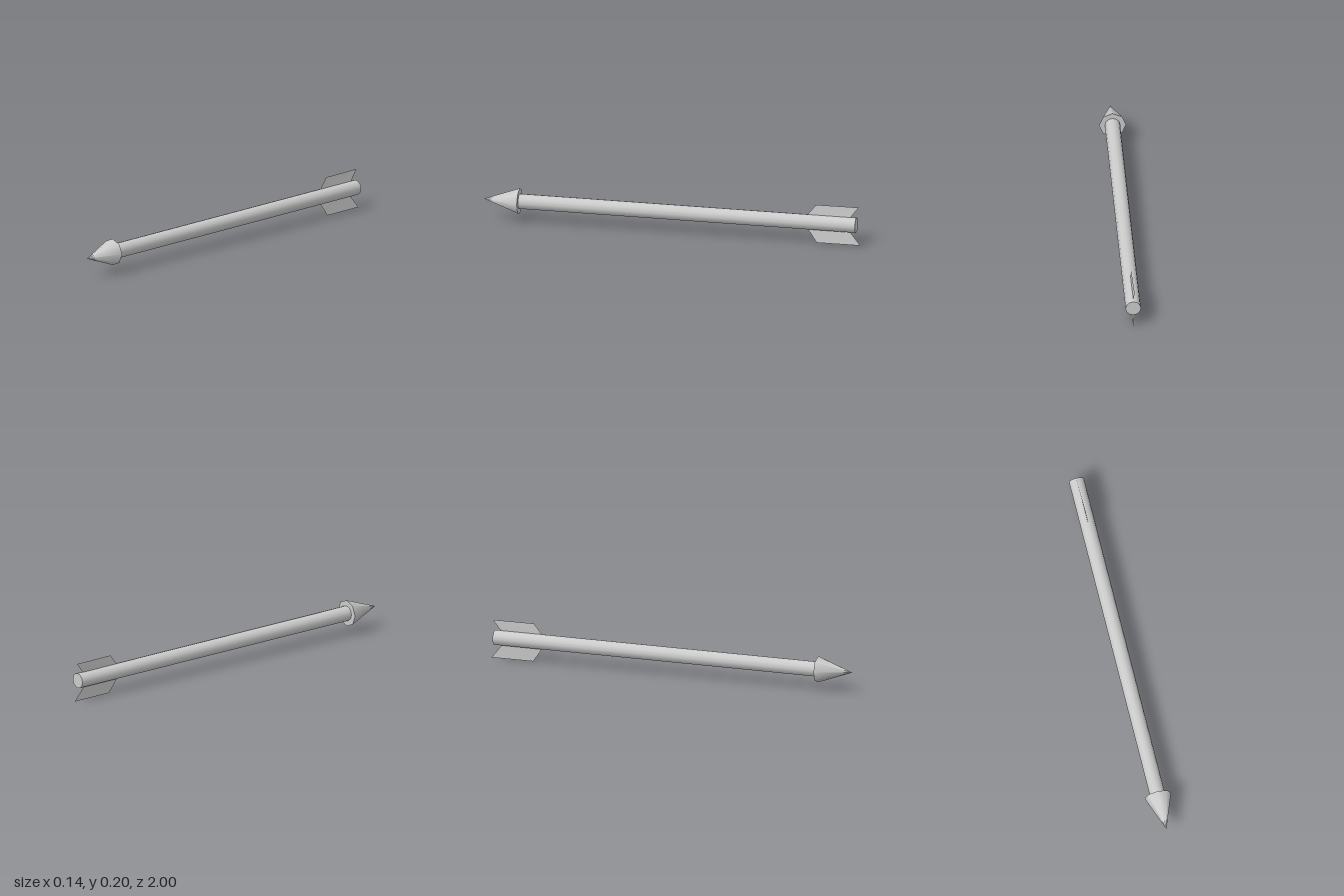
import * as THREE from 'three';

const AXIS_Y = 0.11;

export function createModel() {
  const group = new THREE.Group();
  const grey = new THREE.MeshStandardMaterial({ color: 0xcccccc });
  const thin = new THREE.MeshStandardMaterial({ color: 0xcccccc, side: THREE.DoubleSide });

  const add = (name, geometry, material) => {
    const mesh = new THREE.Mesh(geometry, material);
    mesh.name = name;
    group.add(mesh);
    return mesh;
  };

  // Shaft and head lie along z, pointing forward
  const along = (geometry, z) => geometry.rotateX(Math.PI / 2).translate(0, AXIS_Y, z);
  add('shaft', along(new THREE.CylinderGeometry(0.04, 0.04, 1.79, 12), -0.085), grey);
  add('arrowhead', along(new THREE.ConeGeometry(0.07, 0.19, 8), 0.905), grey);

  // Paper-thin swept fins, slightly leaning; corners: front root, front tip, rear tip, rear root
  const addFin = (name, corners) => {
    const geometry = new THREE.BufferGeometry();
    geometry.setAttribute('position', new THREE.Float32BufferAttribute(corners.flat(), 3));
    geometry.setIndex([0, 1, 2, 0, 2, 3]);
    geometry.computeVertexNormals();
    add(name, geometry, thin);
  };
  addFin('upperFin', [
    [0, 0.145, -0.717], [-0.003, 0.205, -0.765], [-0.007, 0.205, -0.99], [-0.001, 0.145, -0.945],
  ]);
  addFin('lowerFin', [
    [-0.004, 0.075, -0.717], [0.002, 0, -0.77], [0, 0, -1], [-0.006, 0.075, -0.94],
  ]);

  return group;
}
